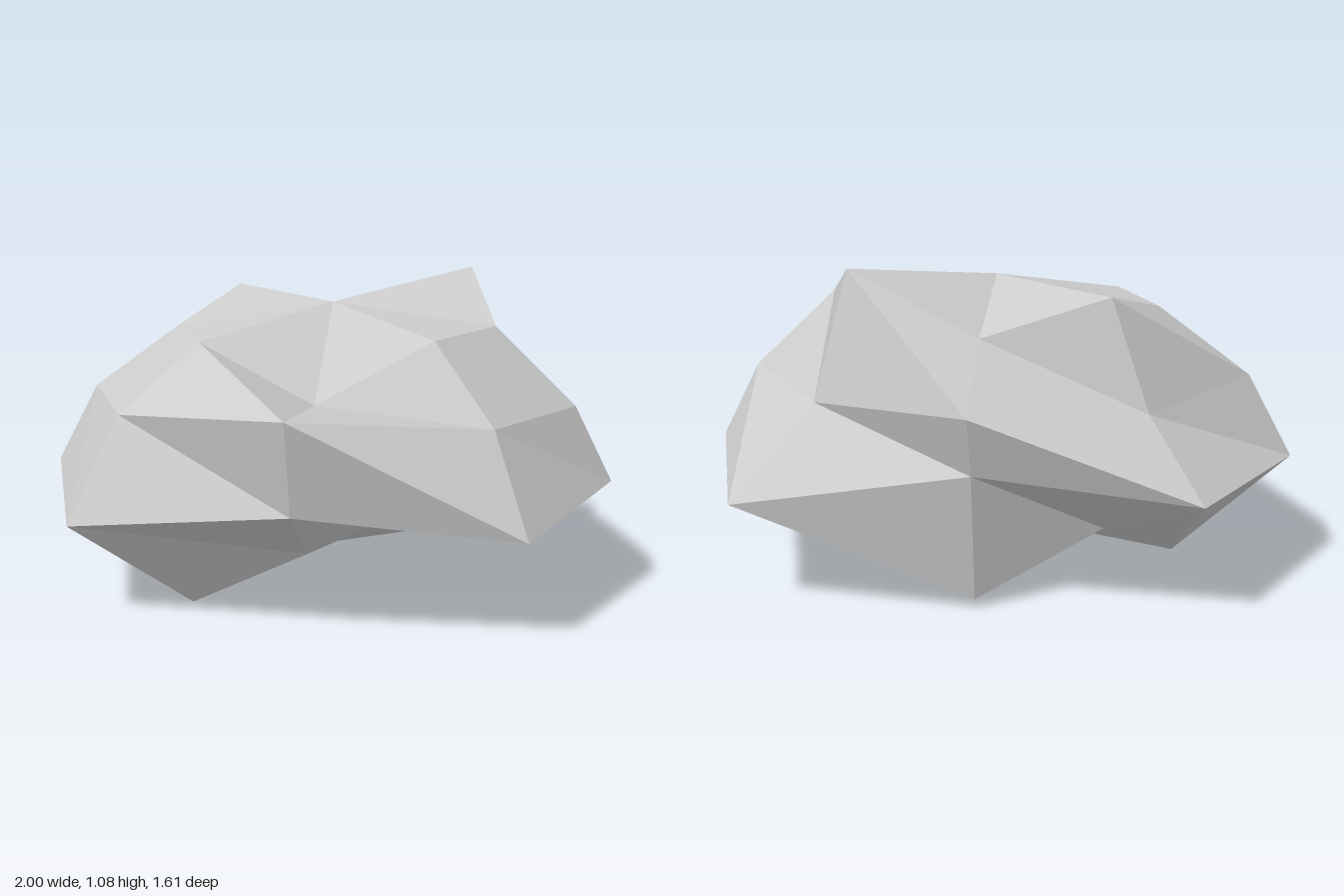
import * as THREE from 'three';

// Rings of the boulder from crown to underside, eight corners each,
// ordered from -x through +z, +x and -z
const RINGS = [
  // crown
  [[-0.54, 0.90, -0.06], [-0.38, 0.90, 0.28], [0.02, 0.70, 0.30], [0.42, 0.93, 0.29],
    [0.59, 0.93, -0.05], [0.46, 1.08, -0.46], [0.02, 0.87, -0.51], [-0.40, 1.00, -0.43]],
  // shoulder
  [[-0.85, 0.67, -0.06], [-0.61, 0.68, 0.47], [0.02, 0.75, 0.80], [0.64, 0.68, 0.47],
    [0.87, 0.66, -0.05], [0.57, 0.64, -0.50], [0.02, 0.68, -0.81], [-0.53, 0.63, -0.49]],
  // widest edge
  [[-1.00, 0.39, -0.07], [-0.75, 0.33, 0.62], [0.02, 0.42, 0.71], [0.77, 0.35, 0.62],
    [1.00, 0.40, -0.05], [0.80, 0.36, -0.76], [0.02, 0.47, -0.72], [-0.72, 0.40, -0.74]],
  // underside
  [[-0.60, 0.04, -0.09], [-0.40, 0.00, 0.33], [0.02, 0.22, 0.42], [0.38, 0.38, 0.32],
    [0.57, 0.25, -0.05], [0.44, 0.12, -0.41], [0.02, 0.03, -0.64], [-0.38, 0.20, -0.37]],
];
const TOP = [0.02, 1.00, -0.05];
const BOTTOM = [0.02, 0.13, -0.05];

export function createModel() {
  const group = new THREE.Group();
  group.name = 'boulder';

  const stone = new THREE.MeshStandardMaterial({ color: 0xcccccc, flatShading: true });
  stone.name = 'grey stone';

  // Coarse sphere with its corners pushed out into a rough rock
  const sides = 8;
  const bands = RINGS.length + 1;
  const geometry = new THREE.SphereGeometry(1, sides, bands);
  const position = geometry.attributes.position;
  for (let row = 0; row <= bands; row++) {
    for (let i = 0; i <= sides; i++) {
      const corner = row === 0 ? TOP : row === bands ? BOTTOM : RINGS[row - 1][i % sides];
      position.setXYZ(row * (sides + 1) + i, ...corner);
    }
  }
  const faceted = geometry.toNonIndexed();
  faceted.computeVertexNormals();

  const rock = new THREE.Mesh(faceted, stone);
  rock.name = 'rock';
  group.add(rock);
  return group;
}
